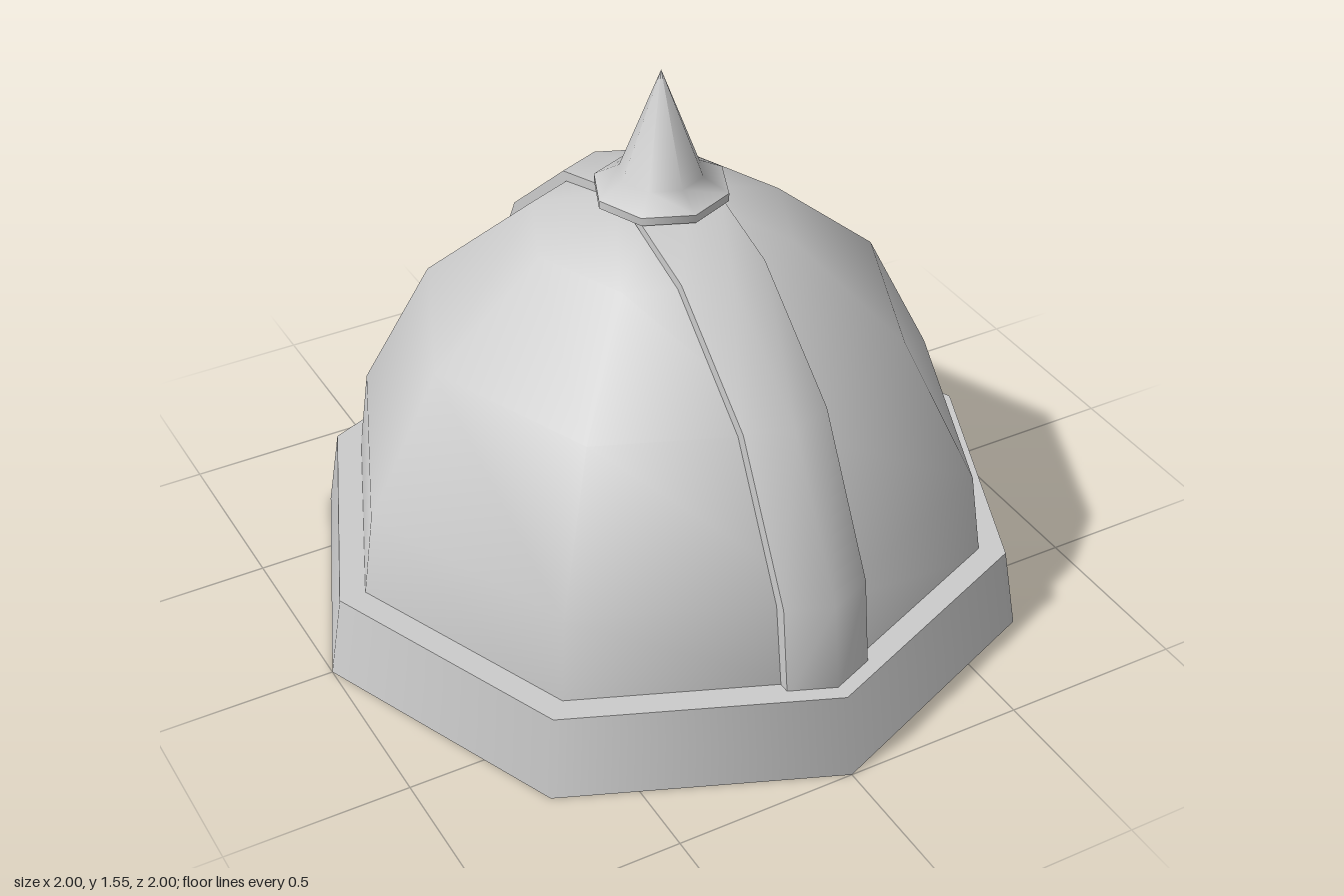
import * as THREE from 'three';

const SIDES = 8;
const smooth = new THREE.MeshStandardMaterial({ color: 0xcccccc });
const faceted = new THREE.MeshStandardMaterial({ color: 0xcccccc, flatShading: true });

// Eight-sided turned surface from [radius, height] pairs, listed bottom to top for an outer face
function turned(name, profile, material = smooth) {
  const points = profile.map(([r, y]) => new THREE.Vector2(r, y));
  const mesh = new THREE.Mesh(new THREE.LatheGeometry(points, SIDES), material);
  mesh.name = name;
  return mesh;
}

// Strip of quads between rows of equal length
function sheet(name, rows) {
  const n = rows[0].length;
  const index = [];
  for (let i = 0; i < rows.length - 1; i++) {
    for (let j = 0; j < n - 1; j++) {
      const a = i * n + j, b = a + 1, c = a + n, d = c + 1;
      index.push(a, b, d, a, d, c);
    }
  }
  const geometry = new THREE.BufferGeometry();
  geometry.setAttribute('position', new THREE.Float32BufferAttribute(rows.flat(2), 3));
  geometry.setIndex(index);
  geometry.computeVertexNormals();
  const mesh = new THREE.Mesh(geometry, smooth);
  mesh.name = name;
  return mesh;
}

// Half profile continued over the crown to the far side
function overCrown(half) {
  const back = half.slice(0, -1).reverse().map(([z, y]) => [-z, y]);
  return [...half, ...back];
}

function createStrap(domeProfile) {
  const strap = new THREE.Group();
  strap.name = 'crestStrap';
  const w = 0.12;
  const fold = w * Math.tan(Math.PI / SIDES);
  const outer = overCrown([[0.922, 0.2], [0.89, 0.47], [0.68, 0.87], [0.37, 1.13], [0.14, 1.202], [0, 1.202]]);
  const inner = overCrown(domeProfile);
  // The strap folds back on both sides of the dome's corner
  const at = (x, [z, y]) => [x, y, z - Math.sign(z) * fold * Math.abs(x) / w];

  strap.add(sheet('strapFace', outer.map((p) => [at(-w, p), at(0, p), at(w, p)])));
  strap.add(sheet('strapLeftEdge', outer.map((p, i) => [at(w, p), at(w, inner[i])])));
  strap.add(sheet('strapRightEdge', outer.map((p, i) => [at(-w, inner[i]), at(-w, p)])));
  return strap;
}

export function createModel() {
  const model = new THREE.Group();
  model.name = 'spikedHelmet';

  // Dome shell and the strap running front to back
  const domeProfile = [[0.893, 0.2], [0.857, 0.46], [0.655, 0.85], [0.352, 1.108], [0.13, 1.18], [0, 1.18]];
  model.add(turned('dome', domeProfile));
  model.add(createStrap(domeProfile));

  // Brow band with crisp edges
  const band = new THREE.Group();
  band.name = 'browBand';
  band.add(turned('bandSide', [[1, 0], [0.962, 0.23]]));
  band.add(turned('bandTop', [[0.962, 0.23], [0.87, 0.23]]));
  band.add(turned('bandUnderside', [[0.93, 0], [1, 0]]));
  model.add(band);

  // Faceted lining with a flat crown
  model.add(turned('lining', [[0, 0.52], [0.34, 0.52], [0.66, 0.27], [0.93, 0]], faceted));

  // Collar and spike
  const finial = new THREE.Group();
  finial.name = 'finial';
  finial.add(turned('collarUnderside', [[0, 1.185], [0.15, 1.185], [0.18, 1.2]], faceted));
  finial.add(turned('collarSide', [[0.18, 1.2], [0.18, 1.222]]));
  finial.add(turned('spike', [[0.18, 1.222], [0.112, 1.26], [0, 1.55]]));
  model.add(finial);

  return model;
}
